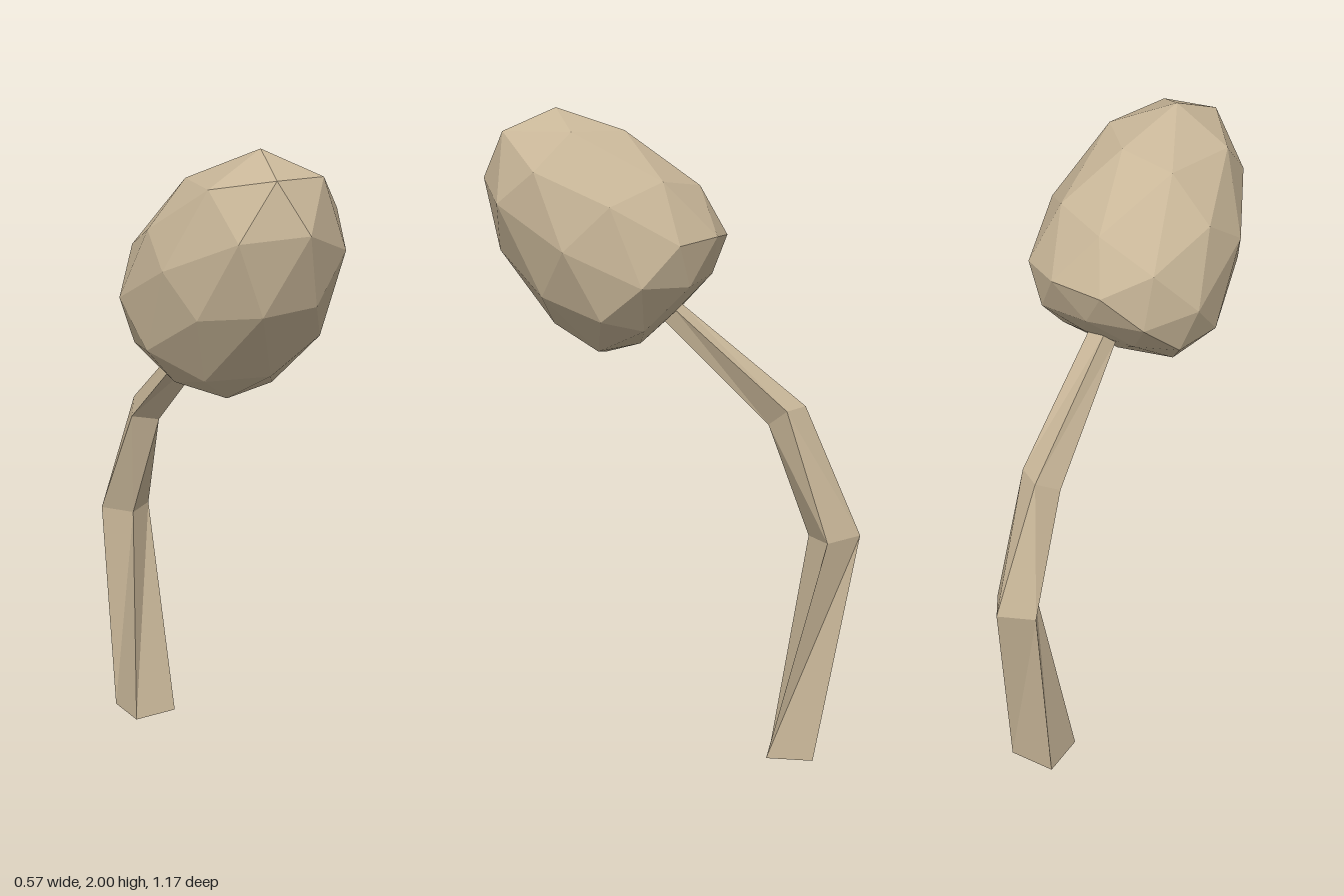
import * as THREE from 'three';

const bark = new THREE.MeshStandardMaterial({ color: 0xc8b698, flatShading: true });
bark.name = 'pale tan';

// Four-sided trunk lofted through bent sections, corners counterclockwise from above
function makeTrunk() {
  const sections = [
    [[-0.06, 0, -0.31], [0.09, 0, -0.31], [0.09, 0, -0.455], [-0.06, 0, -0.455]],
    [[0, 0.7, -0.425], [0.095, 0.7, -0.49], [0.035, 0.715, -0.585], [-0.065, 0.7, -0.525]],
    [[-0.045, 1.06, -0.345], [0.03, 1.05, -0.3], [0.075, 1.1, -0.36], [0, 1.105, -0.41]],
    [[-0.025, 1.38, 0.01], [0.045, 1.365, 0.02], [0.055, 1.4, -0.015], [-0.005, 1.415, -0.022]],
  ];
  const points = [];
  const quad = (a, b, c, d) => points.push(...a, ...b, ...c, ...a, ...c, ...d);
  for (let s = 0; s < sections.length - 1; s++) {
    const low = sections[s], high = sections[s + 1];
    for (let i = 0; i < 4; i++) {
      const j = (i + 1) % 4;
      quad(low[i], low[j], high[j], high[i]);
    }
  }
  quad(...[...sections[0]].reverse());
  quad(...sections[sections.length - 1]);
  const geometry = new THREE.BufferGeometry();
  geometry.setAttribute('position', new THREE.Float32BufferAttribute(points, 3));
  geometry.computeVertexNormals();
  return geometry;
}

// Faceted egg: stretched above its equator, flattened below, leaning forward
function makeCrown() {
  const geometry = new THREE.IcosahedronGeometry(1, 1);
  const deg = THREE.MathUtils.degToRad;
  geometry.rotateZ(deg(-31.72)).rotateY(deg(4)).rotateZ(deg(13));
  const p = geometry.attributes.position;
  for (let i = 0; i < p.count; i++) {
    const y = p.getY(i);
    const height = y > 0 ? y * 0.545 : y * (0.437 + 0.21 * y);
    p.setXYZ(i, p.getX(i) * 0.303, height, p.getZ(i) * 0.307);
  }
  geometry.rotateX(Math.PI / 4).translate(0, 1.556, 0.141);
  geometry.computeVertexNormals();
  return geometry;
}

export function createModel() {
  const model = new THREE.Group();
  model.name = 'leaningTree';
  for (const [name, geometry] of [['trunk', makeTrunk()], ['crown', makeCrown()]]) {
    const mesh = new THREE.Mesh(geometry, bark);
    mesh.name = name;
    model.add(mesh);
  }
  return model;
}
